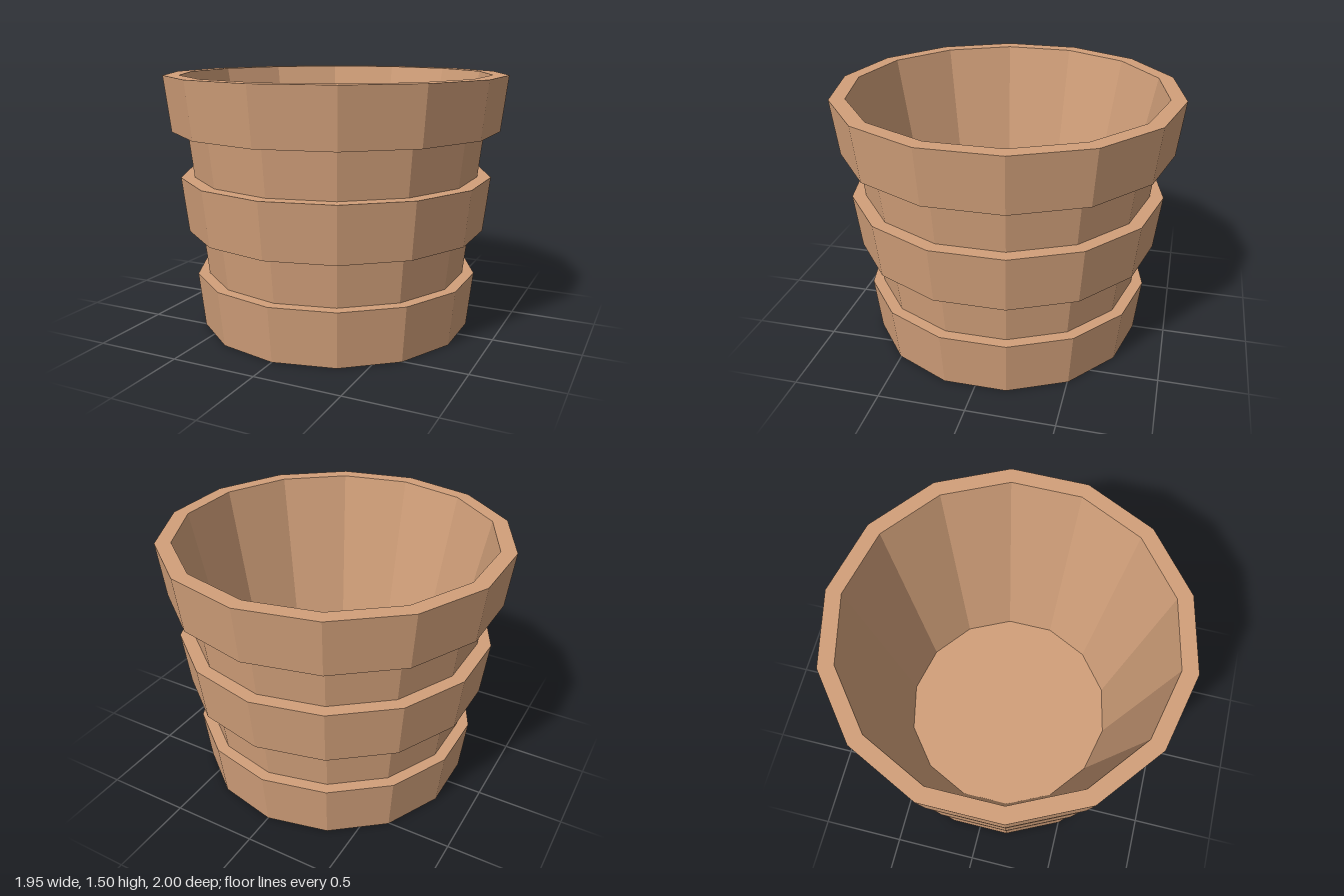
import * as THREE from 'three';

const SIDES = 14;
const BASE_R = 0.74;
const HEIGHT = 1.5;
const TOP_R = 0.91;

// Radius of the tapered body at height y
const bodyRadius = (y) => BASE_R + (TOP_R - BASE_R) * (y / HEIGHT);

function lathePart(name, profile, material) {
  const points = profile.map(([r, y]) => new THREE.Vector2(r, y));
  const mesh = new THREE.Mesh(new THREE.LatheGeometry(points, SIDES), material);
  mesh.name = name;
  return mesh;
}

export function createModel() {
  const group = new THREE.Group();
  group.name = 'plantPot';
  const clay = new THREE.MeshStandardMaterial({ color: 0xd2a07a, flatShading: true });

  // Hollow tapered body: underside, outer wall, inner wall, floor
  group.add(lathePart('body', [
    [0, 0], [BASE_R, 0], [TOP_R, HEIGHT], [0.65, 0.2], [0, 0.2],
  ], clay));

  // Raised bands: bottom y, top y, bottom radius, top radius
  const bands = [
    ['footBand', 0, 0.325, 0.81, 0.845],
    ['middleBand', 0.59, 0.912, 0.885, 0.922],
    ['rimBand', 1.18, HEIGHT, 0.963, 1],
  ];
  for (const [name, y0, y1, r0, r1] of bands) {
    group.add(lathePart(name, [
      [bodyRadius(y0), y0], [r0, y0], [r1, y1], [bodyRadius(y1), y1],
    ], clay));
  }

  return group;
}
